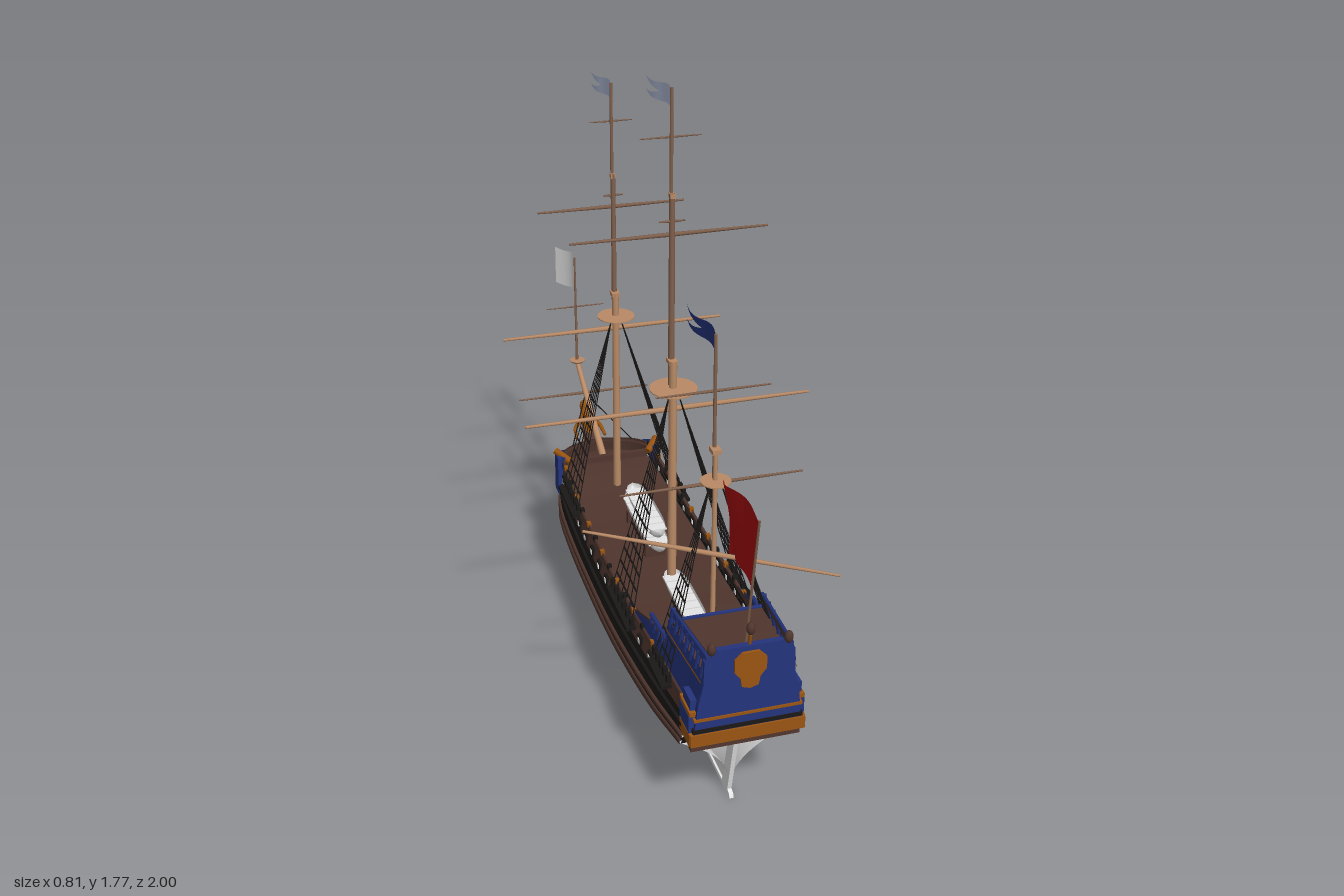
import * as THREE from 'three';
import { ParametricGeometry } from 'three/addons/geometries/ParametricGeometry.js';

const mat = (name, color) => new THREE.MeshStandardMaterial({ name, color, side: THREE.DoubleSide });

export function createModel() {
  const root = new THREE.Group();
  root.name = 'sailingShip';
  const white = mat('hull white', 0xe6e6e6), brown = mat('deck brown', 0x50362e), black = mat('tar black', 0x1b1918);
  const gold = mat('ochre', 0x9a5512), blue = mat('royal blue', 0x24347c), red = mat('flag red', 0xaa0c0f);
  const tan = mat('spar tan', 0xb98a66), pale = mat('pale blue', 0xb4bfda), spar = mat('dark spar', 0x80604c);

  // ---------- helpers ----------
  const add = (name, geo, m, parent = root) => {
    const mesh = new THREE.Mesh(geo, m);
    mesh.name = name;
    parent.add(mesh);
    return mesh;
  };
  const group = (name) => { const g = new THREE.Group(); g.name = name; root.add(g); return g; };
  const box = (name, w, h, d, x, y, z, m, parent) => {
    const b = add(name, new THREE.BoxGeometry(w, h, d), m, parent);
    b.position.set(x, y, z);
    return b;
  };
  const rod = (name, a, b, r1, r2, m, sides = 8, parent = root) => {
    const A = new THREE.Vector3(...a), B = new THREE.Vector3(...b), d = B.clone().sub(A);
    const c = add(name, new THREE.CylinderGeometry(r2, r1, d.length(), sides), m, parent);
    c.position.copy(A).add(B).multiplyScalar(0.5);
    c.quaternion.setFromUnitVectors(new THREE.Vector3(0, 1, 0), d.normalize());
    return c;
  };
  const surf = (name, fn, nu, nv, m, parent) => {
    const g = new ParametricGeometry((u, v, t) => t.set(...fn(u, v)), nu, nv);
    g.computeVertexNormals();
    return add(name, g, m, parent);
  };
  // side plate: outline given as [z, y], thickness along x
  const plate = (name, pts, thick, m) => {
    const s = new THREE.Shape(pts.map(([z, y]) => new THREE.Vector2(-z, y)));
    const g = new THREE.ExtrudeGeometry(s, { depth: thick, bevelEnabled: false });
    g.translate(0, 0, -thick / 2).rotateY(Math.PI / 2);
    return add(name, g, m);
  };
  // smooth table lookup, keys ascending
  const at = (tab, z) => {
    const n = tab.length - 1;
    if (z <= tab[0][0]) return tab[0][1];
    if (z >= tab[n][0]) return tab[n][1];
    let i = 0;
    while (z > tab[i + 1][0]) i++;
    const slope = (a, b) => (tab[b][1] - tab[a][1]) / (tab[b][0] - tab[a][0]);
    const h = tab[i + 1][0] - tab[i][0], t = (z - tab[i][0]) / h;
    const m0 = slope(Math.max(0, i - 1), i + 1) * h, m1 = slope(i, Math.min(n, i + 2)) * h;
    const a = t * t * (3 - 2 * t);
    return tab[i][1] * (1 - a) + tab[i + 1][1] * a + m0 * t * (1 - t) ** 2 - m1 * t * t * (1 - t);
  };
  const lerp = THREE.MathUtils.lerp;

  // ---------- hull lines ----------
  const keel = [[-0.6, 0.2], [-0.55, 0.135], [-0.48, 0.07], [-0.4, 0.03], [-0.28, 0.01], [0, 0.008], [0.5, 0.008], [0.88, 0.006]];
  const water = [[-0.6, 0.21], [-0.5, 0.195], [-0.2, 0.182], [0.2, 0.182], [0.6, 0.2], [0.88, 0.225]];
  const beam = [[-0.6, 0.004], [-0.565, 0.012], [-0.55, 0.045], [-0.52, 0.095], [-0.47, 0.138], [-0.38, 0.172], [-0.2, 0.186], [0.1, 0.19], [0.4, 0.187], [0.7, 0.17], [0.88, 0.148]];
  const sheer = [[-0.58, 0.35], [-0.45, 0.37], [-0.2, 0.355], [0.2, 0.355], [0.55, 0.37], [0.88, 0.38]];
  const topW = [[-0.55, 0.004], [-0.53, 0.06], [-0.5, 0.105], [-0.45, 0.14], [-0.38, 0.15], [-0.2, 0.157], [0.1, 0.16], [0.4, 0.158], [0.7, 0.148], [0.96, 0.136]];
  const full = [[-0.6, 0.7], [-0.45, 0.48], [-0.2, 0.3], [0.1, 0.28], [0.35, 0.42], [0.6, 0.85], [0.88, 2.6]];
  const aft = (z) => Math.max(0, (z - 0.6) / 0.28) ** 2;
  const wallX = (z, y) => at(topW, z) - Math.max(0, y - at(sheer, z)) * 0.16;
  const wall = (z, v, out = 0) => [
    Math.max(0.003, lerp(at(beam, z), at(topW, z), v * v * (1.6 - 0.6 * v)) + out),
    lerp(at(water, z), at(sheer, z), v),
    Math.max(z, -0.575 + v * 0.025) + aft(z) * v * 0.08];

  surf('underbody', (u, v) => {
    const z = lerp(-0.6, 0.88, u), s = v * 2 - 1, t = Math.abs(s) ** 1.6;
    const f = t ** at(full, z);
    return [Math.sign(s) * at(beam, z) * f, lerp(at(keel, z), at(water, z), t), z - aft(z) * (1 - t) * 0.045];
  }, 72, 32, white);
  plate('sternpost', [[-0.28, 0], [0.865, 0], [0.86, 0.01], [0.845, 0.016], [0.892, 0.23], [0.85, 0.22], [0.8, 0.012], [-0.28, 0.012]], 0.012, white);

  // planked bands of the topsides
  const bands = [['lowerWale', 0, 0.1, 0.005, brown], ['lowerBand', 0.1, 0.2, 0, black], ['middleWale', 0.2, 0.28, 0.007, brown],
    ['blackBand', 0.28, 0.46, 0, black], ['upperWale', 0.46, 0.52, 0.007, black], ['upperBand', 0.52, 0.65, 0, black],
    ['gunStrake', 0.65, 0.92, 0, brown], ['rail', 0.92, 1, 0.005, brown]];
  for (const s of [-1, 1]) for (const [name, v0, v1, out, m] of bands)
    surf(name, (u, v) => {
      const k = v < 0.2 || v > 0.8 ? 0 : 1;
      const p = wall(lerp(-0.6, 0.88, u), v < 0.1 || v > 0.9 ? (v > 0.5 ? v1 : v0) : lerp(v0, v1, v < 0.4 ? 0 : v > 0.6 ? 1 : 0.5), out * k);
      return [p[0] * s, p[1], p[2]];
    }, 64, out ? 6 : 2, m);
  surf('counter', (u, v) => { const p = wall(0.88, v); return [p[0] * (u * 2 - 1), p[1], p[2]]; }, 2, 6, black);

  // ---------- decks ----------
  const deck = (name, z0, z1, y) => surf(name, (u, v) => {
    const z = lerp(z0, z1, u), h = y ?? at(sheer, z) - 0.045;
    return [(wallX(z, h) - 0.002) * (v * 2 - 1), h, z];
  }, 40, 2, brown);
  deck('mainDeck', -0.549, 0.9);
  deck('quarterDeck', 0.6, 0.73, 0.37);
  deck('poopDeck', 0.71, 0.96, 0.484);
  box('quarterBulkhead', 0.3, 0.06, 0.008, 0, 0.345, 0.6, brown);
  box('poopBulkhead', 0.265, 0.14, 0.01, 0, 0.418, 0.712, blue);
  for (let i = -2; i <= 2; i++) box('bulkheadWindow', 0.016, 0.025, 0.006, i * 0.048, 0.435, 0.706, pale);
  box('forecastleBeam', 0.27, 0.02, 0.015, 0, 0.345, -0.43, brown);

  // gun ports, channels and stern castle sides
  const panel = (name, z0, z1, lo, hi, m, out) => {
    for (const s of [-1, 1]) surf(name, (u, v) => {
      const z = lerp(z0, z1, u), y = lerp(at(lo, z), at(hi, z), v);
      return [s * (wallX(z, y) + out), y, z];
    }, 16, 1, m);
  };
  for (const s of [-1, 1]) {
    for (let i = 0; i < 15; i++) {
      const z = -0.44 + i * 0.083, p = wall(z, 0.74);
      box('portFrame', 0.01, 0.03, 0.03, s * p[0], p[1], p[2], black);
      box('gunPort', 0.014, 0.014, 0.014, s * p[0], p[1], p[2], white);
      box('railBlock', 0.012, 0.014, 0.014, s * (at(topW, z) + 0.003), at(sheer, z), z, i % 2 ? gold : black);
    }
    for (const [z, l] of [[-0.22, 0.19], [0.4, 0.22], [0.735, 0.13]])
      box('channel', 0.03, 0.01, l, s * (wall(z, 0.85)[0] + 0.012), at(sheer, z) - 0.03, z, black);
    // quarter gallery
    box('galleryBase', 0.02, 0.035, 0.08, s * 0.144, 0.3, 0.925, gold);
    box('galleryBody', 0.02, 0.05, 0.075, s * 0.143, 0.342, 0.92, blue);
    box('galleryRoof', 0.022, 0.012, 0.085, s * 0.141, 0.374, 0.918, gold);
    box('galleryCap', 0.016, 0.03, 0.06, s * 0.139, 0.395, 0.92, blue);
    // open railing posts of the poop and quarterdeck
    for (let i = 0; i < 7; i++) {
      const z = 0.725 + i * 0.038;
      rod('railPost', [s * wallX(z, 0.48), 0.48, z], [s * wallX(z, 0.53), 0.53, z], 0.007, 0.007, blue, 4);
      if (i < 4) rod('railPost', [s * wallX(0.6, 0.4), 0.4, 0.6 + i * 0.033], [s * wallX(0.6, 0.43), 0.43, 0.6 + i * 0.033], 0.005, 0.005, blue, 4);
    }
    rod('quarterRail', [s * wallX(0.59, 0.43), 0.43, 0.59], [s * wallX(0.71, 0.435), 0.435, 0.71], 0.006, 0.006, blue, 6);
    rod('poopCap', [s * wallX(0.71, 0.525), 0.523, 0.71], [s * wallX(0.965, 0.545), 0.545, 0.965], 0.005, 0.005, blue, 6);
  }
  const bulwarkLo = [[0.44, 0.355], [0.72, 0.365]], bulwarkHi = [[0.44, 0.37], [0.5, 0.38], [0.6, 0.41], [0.72, 0.418]];
  const railLo = [[0.71, 0.507], [0.964, 0.525]], railHi = [[0.71, 0.525], [0.964, 0.547]];
  panel('quarterBulwark', 0.44, 0.72, bulwarkLo, bulwarkHi, blue, 0.003);
  panel('quarterLining', 0.44, 0.72, bulwarkLo, bulwarkHi, brown, -0.003);
  panel('poopSide', 0.71, 0.962, [[0.71, 0.37], [0.962, 0.31]], [[0.71, 0.488], [0.962, 0.5]], blue, 0.002);
  panel('poopRail', 0.71, 0.964, railLo, railHi, blue, 0.002);
  panel('poopLining', 0.71, 0.955, railLo, railHi, brown, -0.006);
  panel('poopMoulding', 0.71, 0.964, [[0.71, 0.458], [0.964, 0.468]], [[0.71, 0.463], [0.964, 0.473]], gold, 0.004);

  // stern face
  const face = new THREE.Shape([[-0.142, 0.31], [0.142, 0.31], [0.133, 0.4], [0.12, 0.46], [0.118, 0.53], [0.085, 0.56],
    [-0.085, 0.56], [-0.118, 0.53], [-0.12, 0.46], [-0.133, 0.4]].map((p) => new THREE.Vector2(...p)));
  add('sternFace', new THREE.ExtrudeGeometry(face, { depth: 0.016, bevelEnabled: false }), blue).position.z = 0.952;
  box('sternFaceLining', 0.2, 0.06, 0.006, 0, 0.515, 0.949, brown);
  box('sternGallery', 0.304, 0.035, 0.03, 0, 0.3, 0.958, gold);
  box('sternBeam', 0.29, 0.012, 0.024, 0, 0.326, 0.958, black);
  box('sternMoulding', 0.286, 0.008, 0.022, 0, 0.36, 0.96, gold);
  box('sternSill', 0.29, 0.02, 0.02, 0, 0.265, 0.945, brown);
  const badge = new THREE.Shape([[0, 0.438], [0.022, 0.445], [0.026, 0.47], [0.042, 0.49], [0.042, 0.525], [0.022, 0.545],
    [-0.022, 0.545], [-0.042, 0.525], [-0.042, 0.49], [-0.026, 0.47], [-0.022, 0.445]].map((p) => new THREE.Vector2(...p)));
  add('sternCarving', new THREE.ExtrudeGeometry(badge, { depth: 0.008, bevelEnabled: false }), gold).position.z = 0.967;
  for (const x of [-0.1, 0, 0.1]) {
    rod('lanternPost', [x, 0.53, 0.955], [x, x ? 0.56 : 0.59, 0.965], 0.004, 0.004, gold, 6);
    const l = add('lantern', new THREE.SphereGeometry(0.012, 8, 6), brown);
    l.scale.y = 1.5;
    l.position.set(x, x ? 0.565 : 0.608, 0.965);
  }

  // ---------- beakhead ----------
  plate('stemKnee', [[-0.53, 0.14], [-0.6, 0.19], [-0.66, 0.255], [-0.7, 0.32], [-0.69, 0.34], [-0.64, 0.295], [-0.52, 0.29]], 0.034, brown);
  plate('cutwater', [[-0.44, 0.045], [-0.53, 0.095], [-0.575, 0.14], [-0.61, 0.2], [-0.53, 0.2]], 0.012, white);
  const stem = new THREE.CatmullRomCurve3([[0.145, -0.55], [0.185, -0.583], [0.24, -0.635], [0.31, -0.682], [0.36, -0.7], [0.392, -0.72]].map(([y, z]) => new THREE.Vector3(0, y, z)));
  add('stemCarving', new THREE.TubeGeometry(stem, 20, 0.02, 8), gold);
  add('figureheadHead', new THREE.SphereGeometry(0.021, 10, 8), gold).position.set(0, 0.396, -0.72);
  const beakY = [[-0.66, 0.33], [-0.58, 0.325], [-0.52, 0.345], [-0.45, 0.38], [-0.38, 0.385]];
  const beakX = [[-0.66, 0.02], [-0.58, 0.035], [-0.55, 0.055], [-0.52, 0.095], [-0.46, 0.147], [-0.38, 0.16]];
  for (const s of [-1, 1]) {
    surf('beakRail', (u, v) => { const z = lerp(-0.38, -0.66, u); return [s * at(beakX, z), at(beakY, z) - 0.04 * v, z]; }, 20, 1, blue);
    rod('lowerHeadRail', [s * 0.06, 0.26, -0.545], [s * 0.012, 0.3, -0.68], 0.006, 0.005, gold, 6);
    rod('headLine', [s * 0.1, 0.37, -0.49], [0, 0.44, -0.72], 0.002, 0.002, black, 4);
    rod('figureArm', [s * 0.012, 0.37, -0.705], [s * 0.045, 0.325, -0.69], 0.009, 0.007, gold, 6);
    rod('figureHand', [s * 0.045, 0.325, -0.69], [s * 0.05, 0.31, -0.65], 0.007, 0.005, gold, 6);
    box('bowPost', 0.025, 0.13, 0.045, s * 0.158, 0.315, -0.425, blue);
    rod('cathead', [s * 0.13, 0.365, -0.4], [s * 0.17, 0.39, -0.44], 0.012, 0.012, gold, 6);
    box('bowBracket', 0.02, 0.07, 0.02, s * 0.142, 0.28, -0.475, gold);
  }

  // ---------- masts, tops, yards ----------
  // each pole: z, bottom, top, radius, lean
  const mast = (name, poles, topR, topY) => {
    const g = group(name);
    poles.forEach(([z, y0, y1, r, lean = 0.005], i) => rod('pole', [0, y0, z], [0, y1, z - lean], r, r * 0.85, i < 1 ? tan : spar, 10, g));
    const t = add('top', new THREE.CylinderGeometry(topR, topR, 0.003, 20), tan, g);
    t.position.set(0, topY, poles[0][0]);
    poles.slice(1).forEach((p, i) => box('cap', 0.024 - i * 0.01, 0.012, 0.03 - i * 0.01, 0, poles[i][2] - 0.006, p[0] + 0.006, tan, g));
  };
  mast('mainMast', [[0.305, 0.28, 1.025, 0.013], [0.283, 0.94, 1.49, 0.009], [0.271, 1.4, 1.765, 0.005]], 0.066, 0.945);
  mast('foreMast', [[-0.3, 0.28, 0.98, 0.012], [-0.318, 0.9, 1.35, 0.008], [-0.333, 1.27, 1.62, 0.005]], 0.057, 0.905);
  mast('mizzenMast', [[0.675, 0.36, 0.95, 0.007], [0.662, 0.85, 1.255, 0.005, 0.01]], 0.04, 0.86);
  rod('bowsprit', [0, 0.3, -0.44], [0, 0.51, -0.83], 0.012, 0.008, tan, 10);
  add('spritTop', new THREE.CylinderGeometry(0.026, 0.022, 0.006, 16), tan).position.set(0, 0.515, -0.83);
  rod('spritMast', [0, 0.5, -0.835], [0, 0.89, -0.843], 0.005, 0.003, spar);
  // half length, y, z, radius, tilt
  for (const [l, y, z, r, tilt = 0] of [[0.405, 0.868, 0.275, 0.008], [0.345, 0.853, -0.33, 0.008], [0.245, 0.84, 0.65, 0.005],
    [0.27, 1.372, 0.263, 0.006], [0.225, 1.244, -0.34, 0.006], [0.15, 1.1, 0.648, 0.004], [0.082, 1.635, 0.26, 0.003],
    [0.065, 1.505, -0.345, 0.003], [0.225, 0.437, -0.735, 0.005], [0.1, 0.71, -0.848, 0.003], [0.35, 0.652, 0.69, 0.007, 0.127],
    [0.035, 1.415, 0.28, 0.004], [0.03, 1.285, -0.325, 0.004]])
    for (const s of [-1, 1]) rod('yard', [0, y, z], [s * l, y - s * tilt, z], r, r * 0.5, r > 0.0065 ? tan : spar, 6);

  // shrouds with ratlines
  const rigging = (zt, yt, z0, z1, yb, xb, n, rungs) => {
    const g = group('shrouds');
    for (const s of [-1, 1]) {
      const foot = (k) => [s * xb, yb, lerp(z0, z1, k)], head = [s * 0.015, yt, zt];
      const on = (k, t) => foot(k).map((c, i) => lerp(c, head[i], t));
      for (let i = 0; i < n; i++) {
        rod('shroud', foot(i / (n - 1)), head, 0.0015, 0.0015, black, 4, g);
        box('deadeye', 0.012, 0.024, 0.014, s * xb, yb + 0.005, foot(i / (n - 1))[2], black, g);
      }
      for (let j = 1; j <= rungs; j++) rod('ratline', on(0, j / (rungs + 1.5)), on(1, j / (rungs + 1.5)), 0.0027, 0.0027, black, 4, g);
    }
  };
  rigging(0.31, 0.92, 0.305, 0.505, 0.35, 0.174, 6, 13);
  rigging(-0.3, 0.89, -0.31, -0.13, 0.35, 0.17, 6, 13);
  rigging(0.675, 0.85, 0.675, 0.8, 0.37, 0.158, 5, 11);

  // ---------- boats on deck ----------
  const boat = (zc, half, w, y, h) => {
    const g = group('boat');
    surf('boatHull', (u, v) => {
      const s = u * 2 - 1, k = Math.sqrt(Math.max(0, 1 - s ** 4)), a = v * Math.PI;
      return [-Math.cos(a) * w * k, y + h - Math.sin(a) * h * (0.25 + 0.75 * k), zc + s * half];
    }, 24, 12, white, g);
    for (let i = -3; i <= 3; i++) box('thwart', w * 1.75, 0.005, half * 0.21, 0, y + h - 0.008, zc + i * half * 0.24, white, g);
  };
  boat(0.033, 0.174, 0.036, 0.345, 0.038);
  boat(0.033, 0.152, 0.033, 0.382, 0.038);
  boat(0.435, 0.15, 0.034, 0.325, 0.035);
  for (const z of [-0.07, 0.13]) box('boatChock', 0.06, 0.04, 0.015, 0, 0.33, z, brown);

  // ---------- flags ----------
  const pennant = (z, y, m) => {
    for (const s of [-1, 1]) surf('pennant', (u, v) => {
      const k = Math.max(0, (u - 0.5) / 0.5);
      const outer = 0.026 * (1 - 0.3 * u * u), inner = outer * k;
      return [Math.sin(u * 6) * 0.008, y - 0.03 - u * 0.006 + s * lerp(inner, outer, v) + Math.sin(u * 7) * 0.004, z - u * 0.225];
    }, 20, 1, m);
  };
  pennant(0.265, 1.76, pale);
  pennant(-0.339, 1.618, pale);
  pennant(0.65, 1.257, blue);
  rod('ensignStaff', [0, 0.5, 0.925], [0, 0.93, 0.997], 0.004, 0.003, spar, 6);
  surf('ensign', (u, v) => [Math.sin(u * 7 + v * 2) * 0.018 * u + 0.028 * u * (v - 0.3), 0.922 - v * (0.2 + 0.03 * u) - 0.03 * u * u + Math.sin(u * 3.2) * 0.018, 0.997 - 0.045 * v - u * (0.27 - 0.03 * v)], 16, 8, red);
  surf('jack', (u, v) => [Math.sin(u * 3.6) * 0.014 - 0.025 * u * u, 0.885 - v * 0.13 + Math.sin(u * 6) * 0.005 - u * 0.008, -0.842 - u * 0.157], 14, 4, white);
  return root;
}
